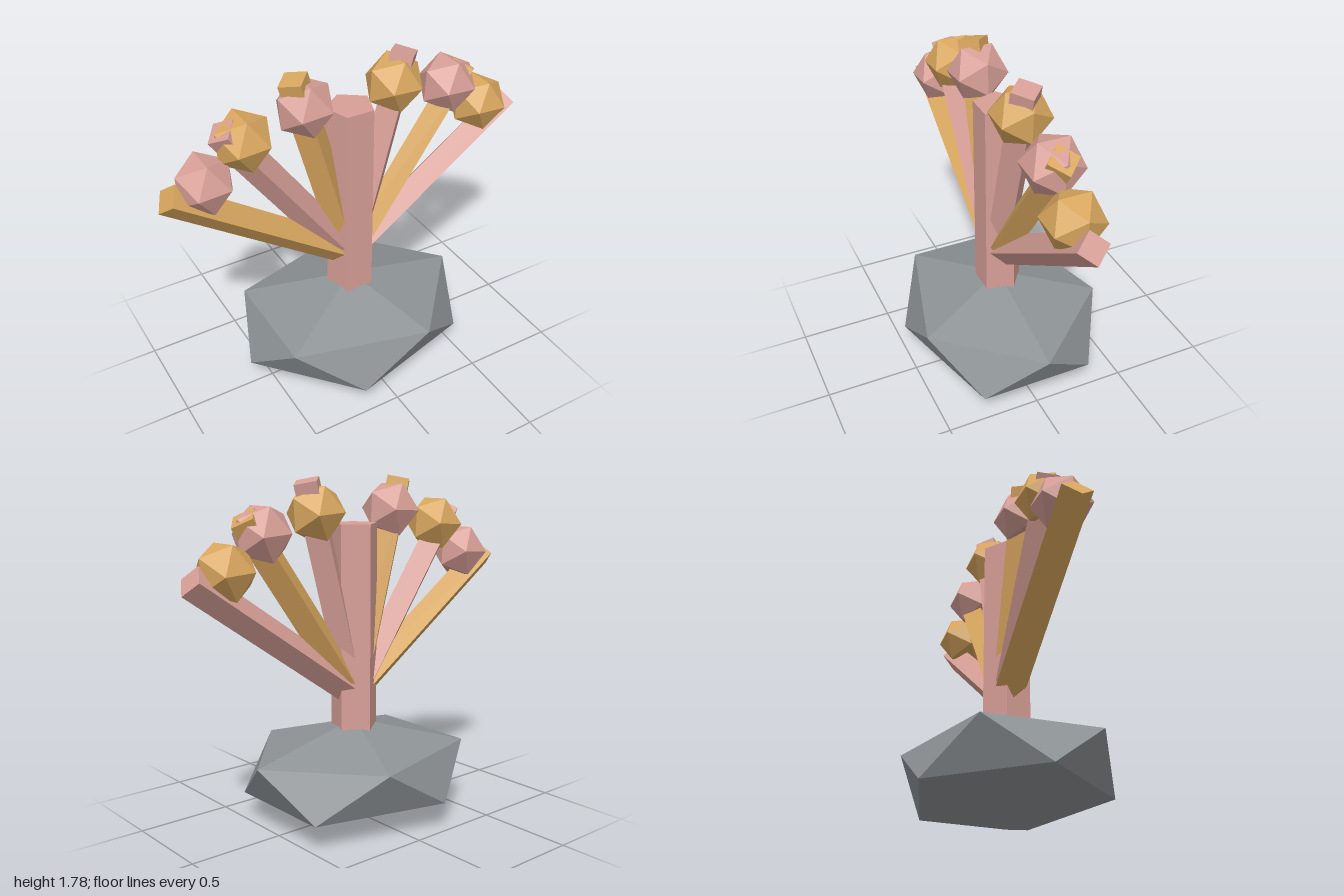
import * as THREE from 'three';

const flat = (name, color) => {
  const m = new THREE.MeshStandardMaterial({ color, flatShading: true });
  m.name = name;
  return m;
};

export function createModel() {
  const stone = flat('stone grey', 0x8e9396);
  const pink = flat('coral pink', 0xd79f97);
  const gold = flat('coral gold', 0xd8a65e);

  const model = new THREE.Group();
  model.name = 'branchingCoral';
  const add = (name, geometry, material, x, y, tilt = 0) => {
    const mesh = new THREE.Mesh(geometry, material);
    mesh.name = name;
    mesh.position.set(x, y, 0);
    mesh.rotation.z = tilt;
    model.add(mesh);
  };

  // Squashed rock, standing on one point
  const rock = new THREE.IcosahedronGeometry(1, 0);
  rock.rotateZ(-0.5536);
  rock.scale(0.694, 0.261, 0.576);
  add('rockBase', rock, stone, 0, 0.265);

  // Five-sided trunk with its flat side to the front
  const trunk = new THREE.CylinderGeometry(0.125, 0.125, 1.15, 5, 1, false, Math.PI);
  add('trunk', trunk, pink, 0, 0.975);

  // Fan of square branches, each with a faceted bud in the other colour
  const length = 1.165;
  const branch = new THREE.CylinderGeometry(0.08, 0.08, length, 4);
  branch.translate(0, length / 2, 0);
  const bud = new THREE.IcosahedronGeometry(0.154, 0);
  const fan = [
    { angle: 15, root: 0.64, budX: 0.245, budY: 1.61 },
    { angle: 35, root: 0.65, budX: 0.565, budY: 1.525 },
    { angle: 55, root: 0.67, budX: 0.77, budY: 1.363 },
  ];
  for (const side of [1, -1]) {
    fan.forEach(({ angle, root, budX, budY }, i) => {
      const isPink = (i % 2 === 0) === (side === 1);
      const tilt = -side * THREE.MathUtils.degToRad(angle);
      add('branch', branch, isPink ? pink : gold, 0, root, tilt);
      add('bud', bud, isPink ? gold : pink, side * budX, budY, Math.PI / 2 - side * 0.06);
    });
  }
  return model;
}
